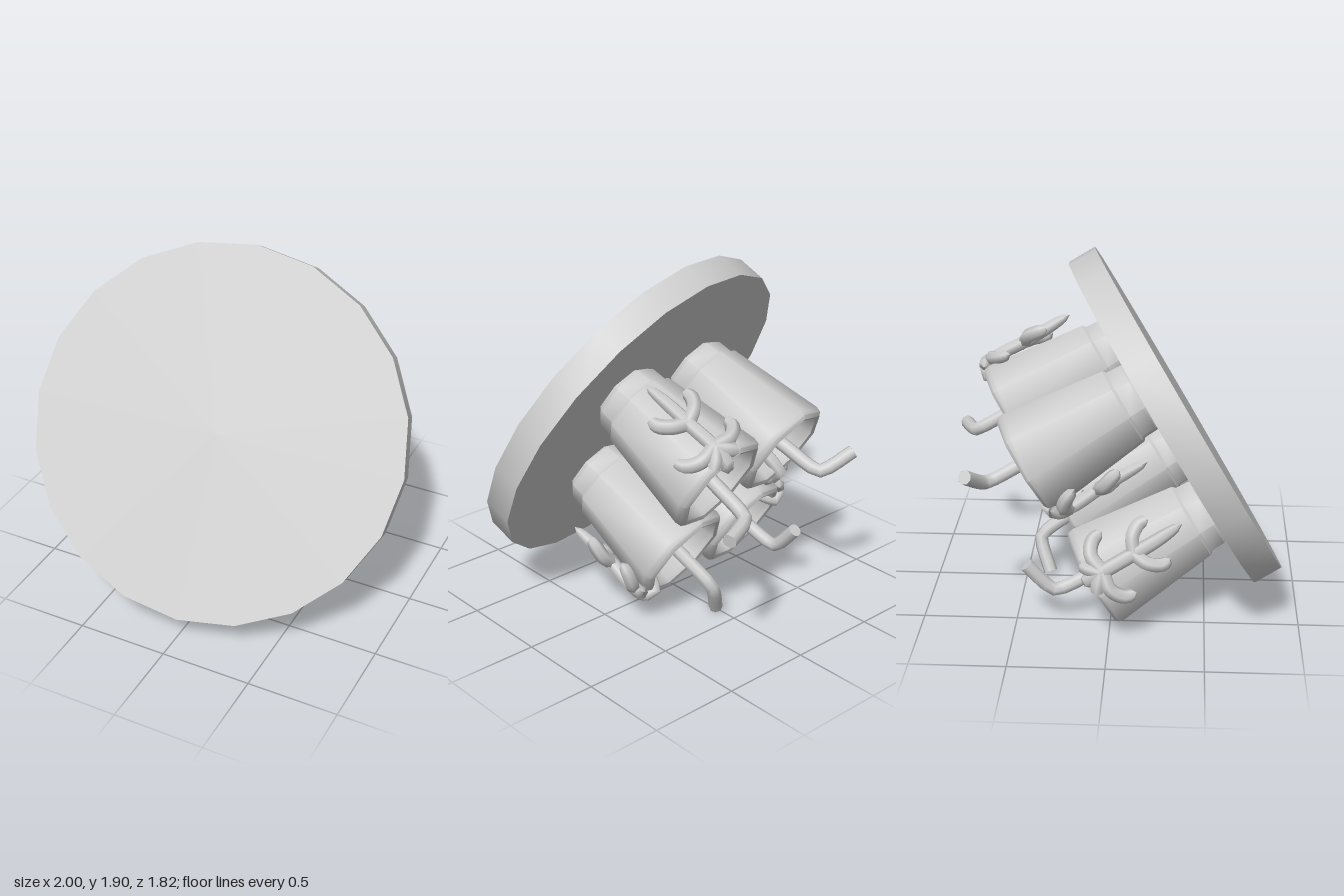
import * as THREE from 'three';
import { toCreasedNormals } from 'three/addons/utils/BufferGeometryUtils.js';

const grey = new THREE.MeshStandardMaterial({ color: 0xcccccc, side: THREE.DoubleSide });
const V = (x, y, z) => new THREE.Vector3(x, y, z);

function add(parent, geometry, name) {
  const mesh = new THREE.Mesh(geometry, grey);
  mesh.name = name;
  parent.add(mesh);
  return mesh;
}

function addGroup(parent, name, turn) {
  const group = new THREE.Group();
  group.name = name;
  group.rotation.y = turn;
  parent.add(group);
  return group;
}

// Tube whose radius follows a function of t
function taperedTube(points, segments, sides, radius) {
  const curve = new THREE.CatmullRomCurve3(points, false, 'centripetal');
  const geo = new THREE.TubeGeometry(curve, segments, 1, sides);
  const pos = geo.attributes.position;
  const p = V(0, 0, 0);
  for (let i = 0; i < pos.count; i++) {
    const t = Math.floor(i / (sides + 1)) / segments;
    const c = curve.getPointAt(t);
    p.fromBufferAttribute(pos, i).sub(c).multiplyScalar(radius(t)).add(c);
    pos.setXYZ(i, p.x, p.y, p.z);
  }
  return geo;
}

// Eight-sided tapered cup with a stepped foot, bevelled thick rim and hollow inside
function cupBody() {
  const profile = [
    [0, 0], [0.17, 0], [0.2, 0.04], [0.205, 0.12], [0.222, 0.135], [0.294, 0.69],
    [0.288, 0.722], [0.268, 0.738], [0.246, 0.73], [0.236, 0.7], [0.175, 0.12], [0, 0.12],
  ].map(([r, y]) => new THREE.Vector2(r, y));
  const geo = new THREE.LatheGeometry(profile, 8);
  geo.rotateY(Math.PI / 8);
  return toCreasedNormals(geo, 0.85);
}

// Bent drinking straw leaning over +x
function addStraw(cup, turn) {
  const points = [V(-0.04, 0.13, 0), V(0.02, 0.7, 0), V(0.035, 0.9, 0), V(0.05, 0.945, 0),
    V(0.09, 0.965, 0), V(0.25, 1.0, 0)];
  const straw = addGroup(cup, 'straw', turn);
  add(straw, taperedTube(points, 20, 8, () => 0.038), 'strawTube');
  const cap = add(straw, new THREE.CircleGeometry(0.038, 8), 'strawTip');
  cap.position.copy(points[5]);
  cap.quaternion.setFromUnitVectors(V(0, 0, 1), points[5].clone().sub(points[4]).normalize());
}

// Branching sprig hooked over the rim at +z and hanging down the side
function addSprig(cup, turn) {
  const sprig = addGroup(cup, 'sprig', turn);
  const blade = (t) => 0.037 * Math.sqrt(Math.max(0, 1 - t ** 9)) + 0.002;
  add(sprig, taperedTube([V(0, 0.58, 0.19), V(0, 0.7, 0.225), V(0, 0.75, 0.265), V(0, 0.65, 0.312),
    V(0, 0.46, 0.305), V(0, 0.34, 0.305), V(0.01, 0.17, 0.31)], 22, 6, blade), 'stem');
  for (const s of [-1, 1]) {
    // upper, lower and rim-side branches
    const branches = [
      [V(0, 0.64, 0.312), V(s * 0.1, 0.655, 0.305), V(s * 0.165, 0.61, 0.275), V(s * 0.18, 0.55, 0.255)],
      [V(0, 0.46, 0.305), V(s * 0.08, 0.42, 0.31), V(s * 0.12, 0.36, 0.295), V(s * 0.115, 0.31, 0.285)],
      [V(0, 0.65, 0.312), V(s * 0.05, 0.7, 0.305), V(s * 0.085, 0.725, 0.285)],
    ];
    for (const b of branches) add(sprig, taperedTube(b, 12, 6, blade), 'leaf');
  }
}

function makeCup(strawTurn, sprigTurn) {
  const cup = new THREE.Group();
  cup.name = 'cup';
  add(cup, cupBody(), 'cupBody');
  addStraw(cup, strawTurn);
  addSprig(cup, sprigTurn);
  return cup;
}

export function createModel() {
  const model = new THREE.Group();
  model.name = 'drinksTray';

  // Tilted tray frame: its own up axis points backward and down
  const up = V(-0.17, -0.49, -0.855).normalize();
  const side = V(0.88, -0.39, 0.05);
  side.addScaledVector(up, -side.dot(up)).normalize();
  const tray = new THREE.Group();
  tray.name = 'tray';
  tray.quaternion.setFromRotationMatrix(
    new THREE.Matrix4().makeBasis(side, up, side.clone().cross(up)));
  tray.position.set(-0.013, 0.977, 0.258);
  model.add(tray);

  // Twenty-sided disc
  const disc = new THREE.CylinderGeometry(1.003, 1.003, 0.162, 20, 1, false, 0.23);
  disc.translate(0, -0.081, 0);
  add(tray, toCreasedNormals(disc, 0.5), 'trayDisc');

  // Four cups: position, quarter turns, extra turn of straw and sprig
  const layout = [
    [0.18, 0.485, 0, -0.45, 0],
    [-0.36, 0.145, 2, 0.3, 0],
    [0.37, -0.14, 1, 0, 0.35],
    [-0.155, -0.54, 3, -0.4, 0],
  ];
  for (const [x, z, quarter, strawTurn, sprigTurn] of layout) {
    const cup = makeCup(strawTurn, sprigTurn);
    cup.position.set(x, -0.012, z);
    cup.rotation.y = quarter * Math.PI / 2;
    tray.add(cup);
  }
  return model;
}
